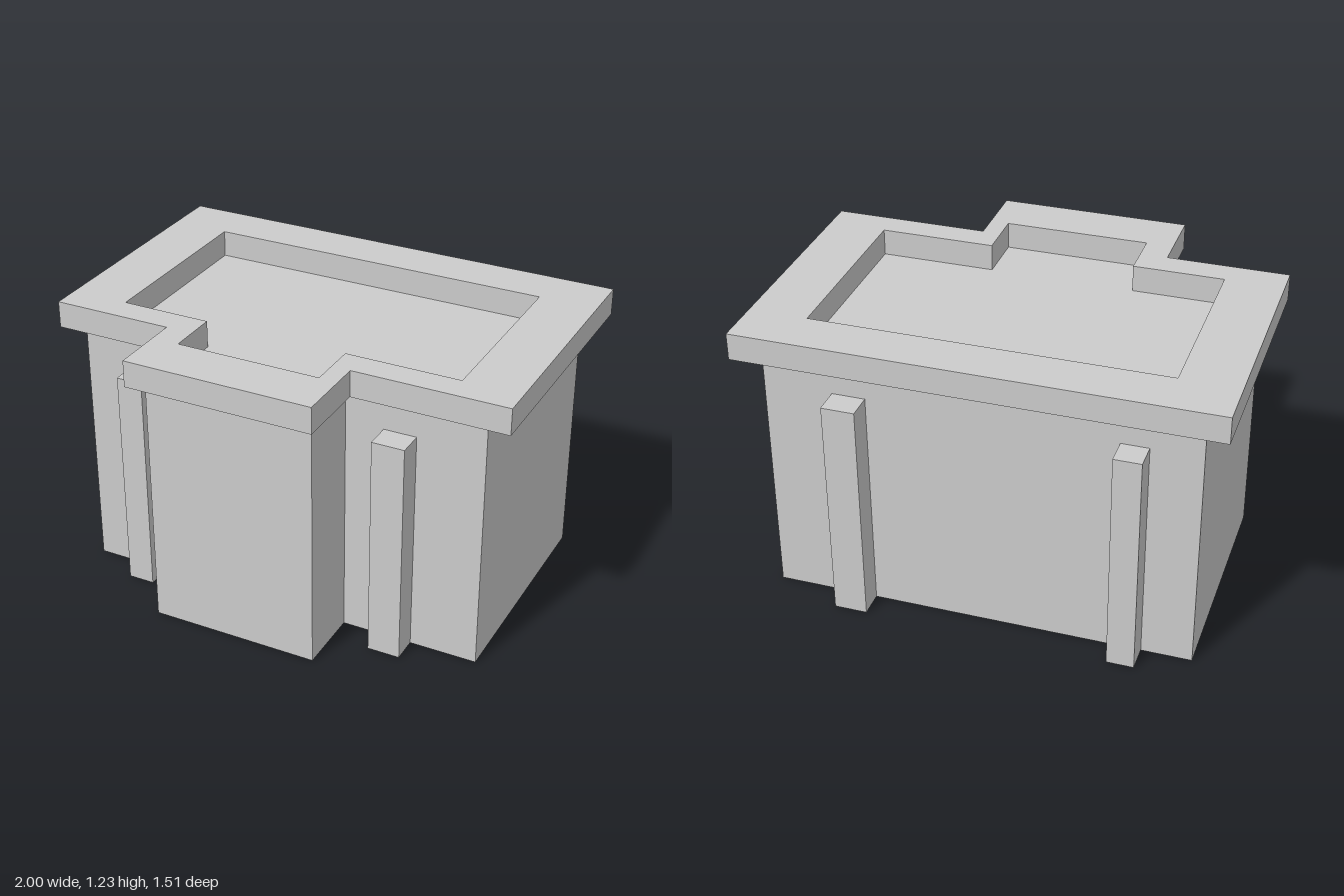
import * as THREE from 'three';

const WALL_TOP = 1.11, RIM_TOP = 1.225, PILASTER_TOP = 0.98;
const FRONT = 0.39, BACK = -0.64, PROUD = 0.113;
const PILASTERS = [[-0.685, -0.57], [0.465, 0.605]];

const material = new THREE.MeshStandardMaterial({ color: 0xcccccc, flatShading: true, side: THREE.DoubleSide });

// T-shaped plan: main rectangle with a bay projecting from its front, as [x, z]
const tPlan = (x0, x1, back, front, bx0, bx1, bayFront) => [
  [x0, front], [bx0, front], [bx0, bayFront], [bx1, bayFront], [bx1, front],
  [x1, front], [x1, back], [x0, back],
];
const vectors = (plan) => plan.map(([x, z]) => new THREE.Vector2(x, z));

// Open vertical walls following a closed plan
function walls(plan, y0, y1) {
  const pos = [];
  plan.forEach(([ax, az], i) => {
    const [bx, bz] = plan[(i + 1) % plan.length];
    pos.push(ax, y0, az, bx, y0, bz, bx, y1, bz, ax, y0, az, bx, y1, bz, ax, y1, az);
  });
  const geo = new THREE.BufferGeometry();
  geo.setAttribute('position', new THREE.Float32BufferAttribute(pos, 3));
  geo.computeVertexNormals();
  return geo;
}

export function createModel() {
  const group = new THREE.Group();
  const add = (name, geometry) => {
    const mesh = new THREE.Mesh(geometry, material);
    mesh.name = name;
    group.add(mesh);
    return mesh;
  };

  // Walls: the lower part follows the pilasters, hollow and open underneath
  const body = tPlan(-0.897, 0.895, BACK, FRONT, -0.433, 0.3, 0.68);
  const notch = (a, b, z, out) => [[a, z], [a, z + out], [b, z + out], [b, z]];
  const [pl, pr] = PILASTERS;
  const lower = [
    body[0], ...notch(pl[0], pl[1], FRONT, PROUD),
    ...body.slice(1, 5), ...notch(pr[0], pr[1], FRONT, PROUD),
    body[5], body[6], ...notch(pr[1], pr[0], BACK, -PROUD),
    ...notch(pl[1], pl[0], BACK, -PROUD), body[7],
  ];
  add('lowerWalls', walls(lower, 0, PILASTER_TOP));
  add('upperWalls', walls(body, PILASTER_TOP, WALL_TOP));

  // Flat tops of the four pilasters
  for (const [a, b] of PILASTERS) {
    for (const z of [FRONT + PROUD / 2, BACK - PROUD / 2]) {
      const cap = new THREE.PlaneGeometry(b - a, PROUD).rotateX(-Math.PI / 2);
      add('pilasterTop', cap).position.set((a + b) / 2, PILASTER_TOP, z);
    }
  }

  // Overhanging rim around the sunken roof
  const opening = tPlan(-0.75, 0.75, -0.51, 0.31, -0.363, 0.258, 0.535);
  const rim = new THREE.Shape(vectors(tPlan(-1, 1, -0.72, 0.43, -0.48, 0.338, 0.755)));
  rim.holes.push(new THREE.Path(vectors(opening)));
  const rimGeo = new THREE.ExtrudeGeometry(rim, { depth: RIM_TOP - WALL_TOP, bevelEnabled: false });
  add('roofRim', rimGeo.rotateX(Math.PI / 2)).position.y = RIM_TOP;

  // Sunken roof floor
  const floor = new THREE.ShapeGeometry(new THREE.Shape(vectors(opening)));
  add('roofFloor', floor.rotateX(Math.PI / 2)).position.y = WALL_TOP;

  return group;
}
